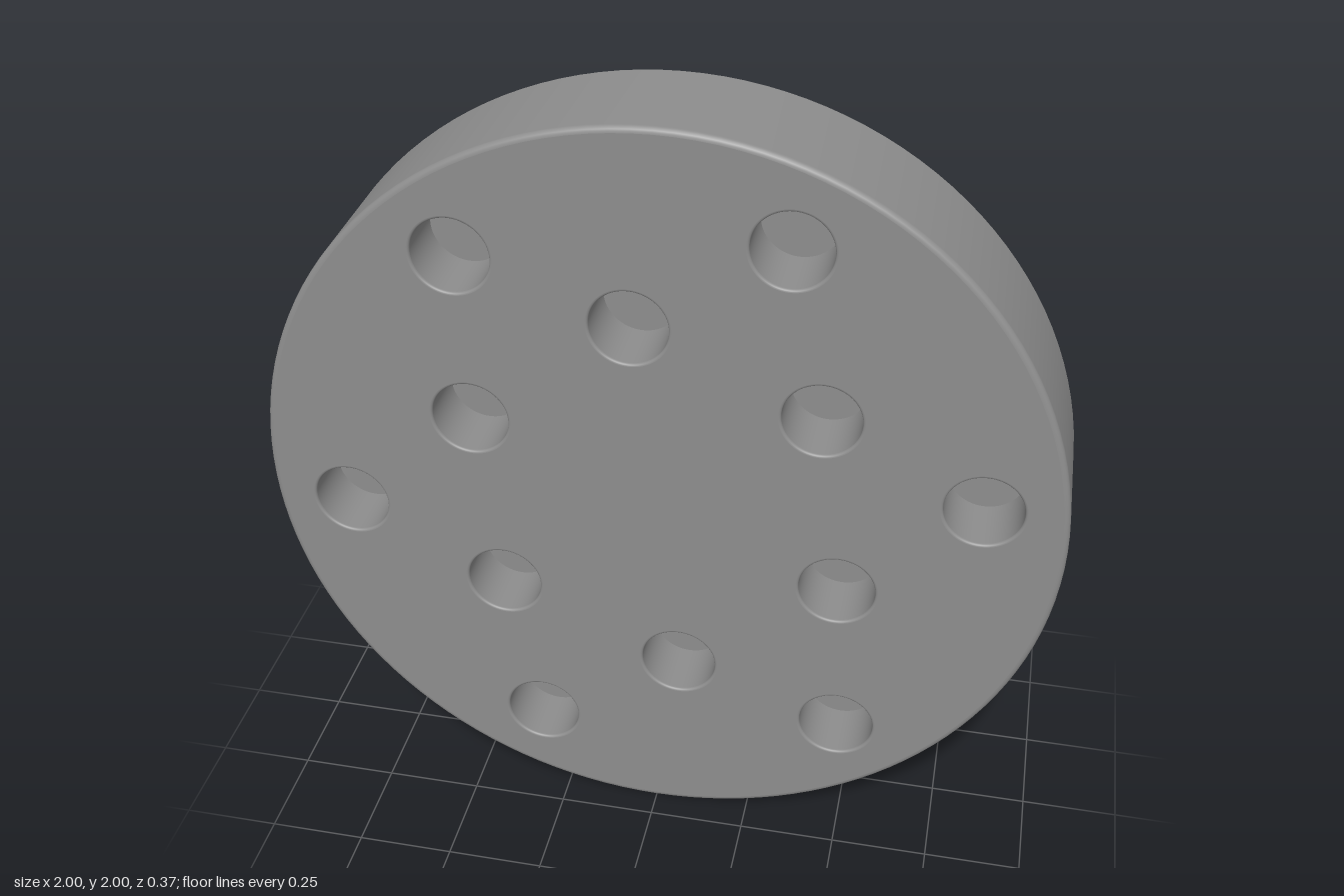
import * as THREE from 'three';

const FRONT = 0.184, BACK = -0.15, FILLET = 0.015;
const HOLE_R = 0.096, HOLE_OPEN = 0.103, HOLE_DEPTH = 0.16;

// Points along a quarter-round fillet
function arc(cx, cy, r, a0, a1, n = 5) {
  return Array.from({ length: n + 1 }, (_, i) => {
    const a = a0 + (a1 - a0) * i / n;
    return new THREE.Vector2(cx + r * Math.cos(a), cy + r * Math.sin(a));
  });
}

// Revolve a profile about the z axis
function revolve(points) {
  return new THREE.LatheGeometry(points, 128).rotateX(Math.PI / 2);
}

export function createModel() {
  const model = new THREE.Group();
  const material = new THREE.MeshStandardMaterial({ color: 0x8d8d8d });
  const add = (name, geometry, x = 0, y = 0, z = 0) => {
    const mesh = new THREE.Mesh(geometry, material);
    mesh.name = name;
    mesh.position.set(x, y + 1, z);
    model.add(mesh);
  };

  // Two staggered rings of six holes
  const holes = [];
  for (const [radius, start] of [[0.5, 37], [0.8, 7]]) {
    for (let i = 0; i < 6; i++) {
      const a = THREE.MathUtils.degToRad(start + 60 * i);
      holes.push([radius * Math.cos(a), radius * Math.sin(a)]);
    }
  }

  // Rounded outer wall and flat back; repeated point keeps the flat crisp
  add('discBody', revolve([
    new THREE.Vector2(0, BACK),
    new THREE.Vector2(1 - FILLET, BACK),
    ...arc(1 - FILLET, BACK + FILLET, FILLET, -Math.PI / 2, 0),
    ...arc(1 - FILLET, FRONT - FILLET, FILLET, 0, Math.PI / 2),
  ]));

  // Front face, pierced by the holes
  const face = new THREE.Shape().absarc(0, 0, 1 - FILLET, 0, Math.PI * 2);
  for (const [x, y] of holes) {
    face.holes.push(new THREE.Path().absarc(x, y, HOLE_OPEN, 0, Math.PI * 2, true));
  }
  add('frontFace', new THREE.ShapeGeometry(face, 64), 0, 0, FRONT);

  // Blind holes with eased rims and flat floors
  const ease = HOLE_OPEN - HOLE_R;
  const wall = revolve([
    ...arc(HOLE_OPEN, -ease, ease, Math.PI / 2, Math.PI),
    new THREE.Vector2(HOLE_R, -ease),
    new THREE.Vector2(HOLE_R, -HOLE_DEPTH),
  ]);
  const floor = new THREE.CircleGeometry(HOLE_R, 128);
  holes.forEach(([x, y], i) => {
    add(`holeWall${i + 1}`, wall, x, y, FRONT);
    add(`holeFloor${i + 1}`, floor, x, y, FRONT - HOLE_DEPTH);
  });

  // Raised round boss on the back
  const bossHeight = 0.034;
  add('backBoss', new THREE.CylinderGeometry(0.366, 0.366, bossHeight, 96).rotateX(Math.PI / 2),
    0, 0, BACK - bossHeight / 2);

  return model;
}
